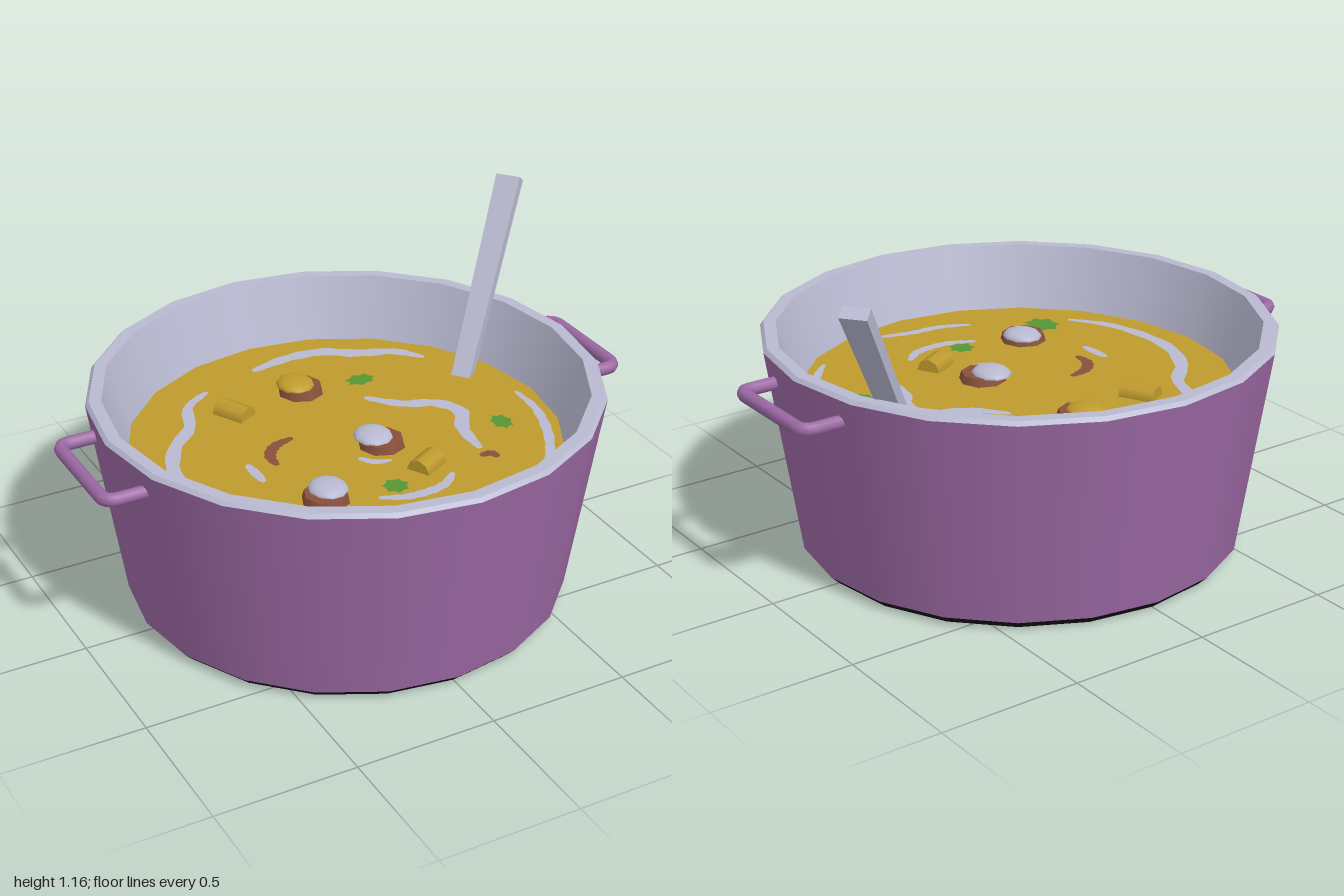
import * as THREE from 'three';

const mat = (name, color, side = THREE.FrontSide) => {
  const m = new THREE.MeshStandardMaterial({ color, side });
  m.name = name;
  return m;
};

const SIDES = 20;
const SOUP_Y = 0.55;

export function createModel() {
  const root = new THREE.Group();
  root.name = 'soupPot';

  const purple = mat('purple enamel', 0x9c69a4);
  const grey = mat('pale grey', 0xb8b8d0);
  const black = mat('black base', 0x151318);
  const broth = mat('golden broth', 0xbf9b2d);
  const brown = mat('brown skin', 0x88503a);
  const green = mat('green herb', 0x579634);

  const add = (name, geometry, material, parent = root) => {
    const mesh = new THREE.Mesh(geometry, material);
    mesh.name = name;
    parent.add(mesh);
    return mesh;
  };

  // One turned band; separate bands keep the edges between them sharp
  const band = (name, material, r0, y0, r1, y1) => add(name, new THREE.LatheGeometry(
    [new THREE.Vector2(r0, y0), new THREE.Vector2(r1, y1)], SIDES), material);

  // Pot shell, from the underside up, over the rim and down to the soup
  band('underside', black, 0, 0, 0.745, 0);
  band('baseBevel', black, 0.745, 0, 0.775, 0.03);
  band('potWall', purple, 0.775, 0.03, 0.886, 0.762);
  band('rimEdge', grey, 0.886, 0.762, 0.874, 0.775);
  band('rimTop', grey, 0.874, 0.775, 0.832, 0.775);
  band('innerWall', grey, 0.832, 0.775, 0.752, 0.54);
  band('soup', broth, 0.757, SOUP_Y, 0, SOUP_Y);

  // Side handles: a bent bar with rounded corners
  for (const s of [1, -1]) {
    const v = (x, z) => new THREE.Vector3(s * x, 0.68, z);
    const path = new THREE.CurvePath();
    path.add(new THREE.LineCurve3(v(0.83, -0.203), v(0.93, -0.203)));
    path.add(new THREE.QuadraticBezierCurve3(v(0.93, -0.203), v(0.975, -0.203), v(0.975, -0.158)));
    path.add(new THREE.LineCurve3(v(0.975, -0.158), v(0.975, 0.158)));
    path.add(new THREE.QuadraticBezierCurve3(v(0.975, 0.158), v(0.975, 0.203), v(0.93, 0.203)));
    path.add(new THREE.LineCurve3(v(0.93, 0.203), v(0.83, 0.203)));
    add(s > 0 ? 'leftHandle' : 'rightHandle', new THREE.TubeGeometry(path, 48, 0.024, 8), purple);
  }

  // Spoon handle: a bar that widens towards its free end
  const low = new THREE.Vector3(0.59, 0.535, -0.205);
  const high = new THREE.Vector3(0.945, 1.15, -0.485);
  const dir = high.clone().sub(low);
  const length = dir.length();
  dir.normalize();
  const across = new THREE.Vector3(-dir.z, 0, dir.x).normalize();
  const bar = new THREE.BoxGeometry(0.07, length, 0.045);
  const bp = bar.attributes.position;
  for (let i = 0; i < bp.count; i++) if (bp.getY(i) > 0) bp.setX(i, bp.getX(i) * 1.3);
  bar.computeVertexNormals();
  bar.applyMatrix4(new THREE.Matrix4()
    .makeBasis(across, dir, across.clone().cross(dir))
    .setPosition(low.clone().add(high).multiplyScalar(0.5)));
  add('spoonHandle', bar, grey);

  // Flat plate on the soup, outlined in x and z
  const plate = (name, outline, material, lift) => {
    const shape = new THREE.Shape(outline.map(([x, z]) => new THREE.Vector2(x, -z)));
    const g = new THREE.ShapeGeometry(shape);
    g.rotateX(-Math.PI / 2);
    g.translate(0, SOUP_Y + lift, 0);
    return add(name, g, material);
  };

  // Tapered ribbon along a smooth line
  const ribbon = (name, points, width, material, lift = 0.004) => {
    const curve = new THREE.CatmullRomCurve3(points.map(([x, z]) => new THREE.Vector3(x, 0, z)));
    const n = 24, one = [], two = [];
    for (let i = 0; i <= n; i++) {
      const t = i / n, p = curve.getPointAt(t), d = curve.getTangentAt(t);
      const taper = 0.3 + 0.7 * Math.sqrt(Math.sin(Math.PI * t) + 1e-9);
      const w = width / 2 * taper * (1 + 0.12 * Math.sin(i * 1.9));
      one.push([p.x - d.z * w, p.z + d.x * w]);
      two.unshift([p.x + d.z * w, p.z - d.x * w]);
    }
    plate(name, [...one, ...two], material, lift);
  };

  // Cream swirls
  const swirls = [
    [0.05, [[-0.285, -0.52], [-0.39, -0.45], [-0.45, -0.31], [-0.55, -0.21], [-0.625, -0.05],
      [-0.63, 0.11], [-0.59, 0.27], [-0.505, 0.395]]],
    [0.058, [[-0.07, -0.585], [0.09, -0.615], [0.22, -0.6], [0.33, -0.53], [0.46, -0.475], [0.535, -0.385]]],
    [0.055, [[0.19, -0.215], [0.29, -0.11], [0.395, -0.06], [0.44, 0.03], [0.385, 0.14], [0.365, 0.29]]],
    [0.036, [[0.69, 0], [0.685, 0.14], [0.62, 0.325], [0.54, 0.45], [0.465, 0.53]]],
    [0.04, [[-0.1, 0.41], [0.0, 0.45], [0.13, 0.44], [0.2, 0.385]]],
    [0.036, [[-0.18, 0.56], [-0.075, 0.605], [0.04, 0.615], [0.18, 0.65]]],
    [0.036, [[-0.385, 0.01], [-0.385, 0.075], [-0.385, 0.14]]],
    [0.03, [[-0.035, 0.15], [0.005, 0.2], [0.06, 0.215]]],
  ];
  for (const [w, pts] of swirls) ribbon('creamSwirl', pts, w, grey);

  // Mushroom slivers
  ribbon('mushroomSliver', [[-0.17, -0.075], [-0.25, -0.05], [-0.295, 0.005], [-0.3, 0.07]], 0.042, brown, 0.008);
  ribbon('mushroomSliver', [[0.335, 0.34], [0.375, 0.34], [0.385, 0.375]], 0.036, brown, 0.008);

  // Ragged herb leaves: x, z, half width, half depth
  for (const [x, z, rx, rz] of [[0.24, -0.335, 0.056, 0.04], [0.525, 0.17, 0.038, 0.05],
    [-0.015, 0.375, 0.045, 0.045], [-0.39, 0.4, 0.06, 0.068]]) {
    const outline = [];
    for (let i = 0; i < 14; i++) {
      const a = i / 14 * Math.PI * 2, k = i % 2 ? 0.8 : 1.05;
      outline.push([x + Math.cos(a) * rx * k, z - Math.sin(a) * rz * k]);
    }
    plate('herbLeaf', outline, green, 0.008);
  }

  // Chunks with brown skin and a rounded cut top: cap x, z, skin x, z, cap colour
  for (const [cx, cz, sx, sz, capMat] of [[0.065, 0.075, 0.085, 0.1, grey],
    [-0.235, 0.31, -0.255, 0.332, grey], [0.002, -0.385, 0.016, -0.37, broth]]) {
    const chunk = new THREE.Group();
    chunk.name = 'chunk';
    root.add(chunk);
    const skin = add('chunkSkin', new THREE.CylinderGeometry(0.075, 0.088, 0.045, 8), brown, chunk);
    skin.position.set(sx, SOUP_Y + 0.005, sz);
    const cap = add('chunkTop', new THREE.SphereGeometry(0.071, 10, 6, 0, Math.PI * 2, 0, Math.PI / 2), capMat, chunk);
    cap.scale.set(0.95, 0.4, 1.06);
    cap.position.set(cx, SOUP_Y + 0.025, cz);
  }

  // Diced vegetables half sunk in the soup: x, z, length, turn
  for (const [x, z, len, turn] of [[-0.265, -0.335, 0.125, -1.1], [0.15, 0.295, 0.115, 0.5]]) {
    const g = new THREE.CylinderGeometry(0.044, 0.044, len, 8);
    g.rotateZ(Math.PI / 2);
    const dice = add('vegetablePiece', g, broth);
    dice.rotation.y = turn;
    dice.position.set(x, SOUP_Y, z);
  }

  return root;
}
